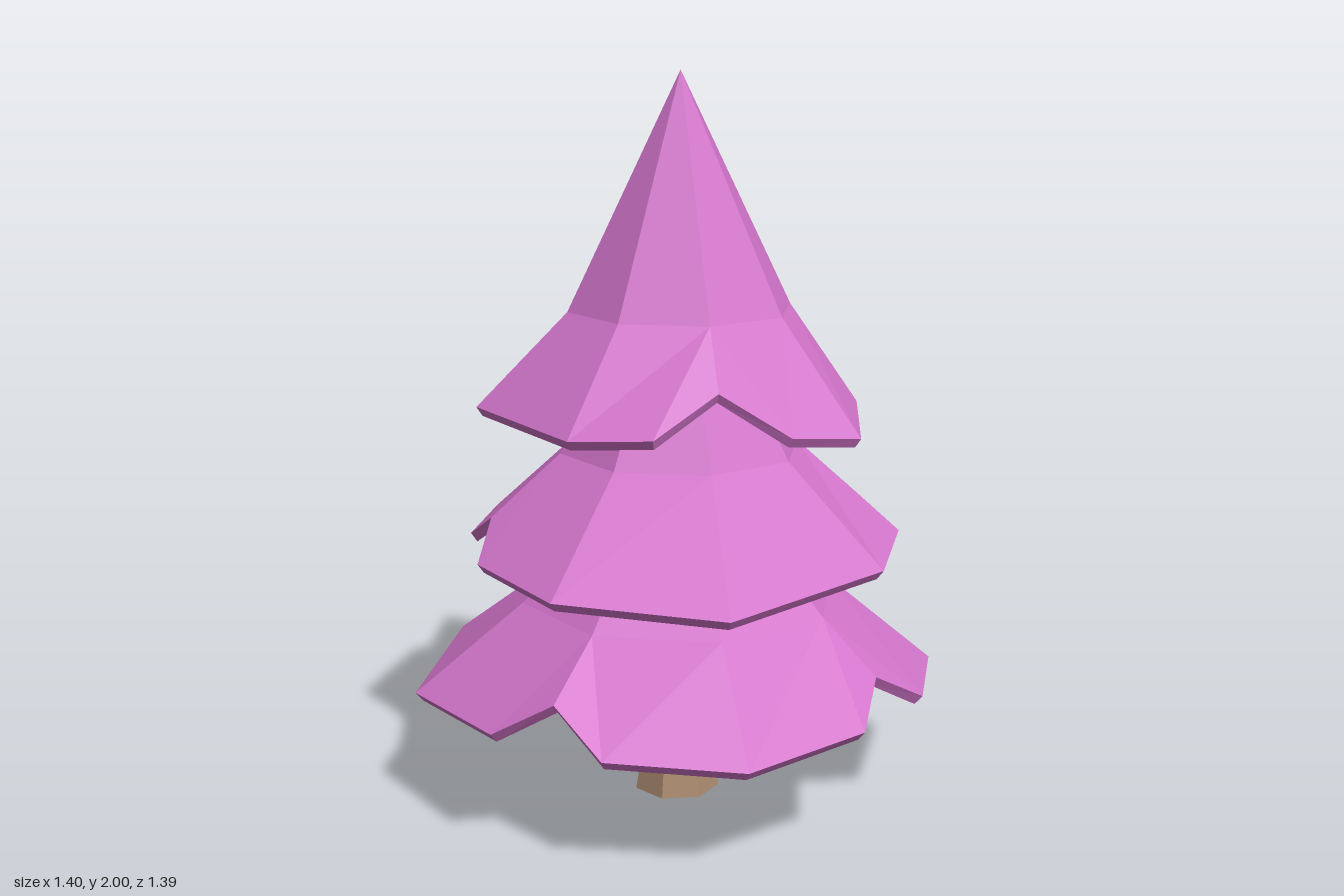
import * as THREE from 'three';

const CX = 0.015, CZ = -0.015; // axis of the tree
const SIDES = 8;

// Each tier: rim points per spoke (three points make a notch), a shoulder ring and a top ring [radius, y]
const TIERS = [
  {
    name: 'lowerBranches', mid: [0.445, 0.57], top: [0.17, 0.87],
    rim: [
      [[0.63, 0.34, -0.33], [0.60, 0.43, -0.165], [0.70, 0.35, 0]],
      [[0.63, 0.325, 0.36]],
      [[0.35, 0.34, 0.595], [0.19, 0.45, 0.61], [0.035, 0.35, 0.69]],
      [[-0.38, 0.33, 0.615]],
      [[-0.705, 0.34, 0.19]],
      [[-0.595, 0.335, -0.39]],
      [[-0.28, 0.335, -0.65], [-0.12, 0.44, -0.61], [0.03, 0.315, -0.70]],
      [[0.39, 0.305, -0.67]],
    ],
  },
  {
    name: 'middleBranches', mid: [0.335, 0.985], top: [0.17, 1.28],
    rim: [
      [[0.62, 0.73, -0.16]],
      [[0.565, 0.70, 0.36]],
      [[0.19, 0.72, 0.615]],
      [[-0.17, 0.73, 0.555], [-0.25, 0.82, 0.44], [-0.39, 0.74, 0.40]],
      [[-0.60, 0.73, 0.13]],
      [[-0.535, 0.72, -0.375]],
      [[-0.12, 0.70, -0.615]],
      [[0.21, 0.70, -0.56], [0.285, 0.82, -0.455], [0.45, 0.75, -0.435]],
    ],
  },
  {
    name: 'treetop', mid: [0.31, 1.37], top: [0, 2],
    rim: [
      [[0.55, 1.075, -0.14]],
      [[0.495, 1.10, 0.065], [0.38, 1.22, 0.215], [0.33, 1.12, 0.395]],
      [[0.135, 1.105, 0.505]],
      [[-0.29, 1.12, 0.45]],
      [[-0.505, 1.11, 0.10]],
      [[-0.445, 1.11, -0.115], [-0.345, 1.22, -0.245], [-0.27, 1.11, -0.39]],
      [[-0.08, 1.10, -0.525]],
      [[0.285, 1.09, -0.44]],
    ],
  },
];

function ring(radius, y) {
  return Array.from({ length: SIDES }, (_, i) => {
    const a = THREE.MathUtils.degToRad(-14 + i * 45);
    return new THREE.Vector3(CX + radius * Math.cos(a), y, CZ + radius * Math.sin(a));
  });
}

// Thick, hollow skirt of branches with a narrow lip round the rim
function skirtGeometry({ rim, mid, top }) {
  const pos = [];
  const tri = (a, b, c) => {
    if (a.equals(b) || b.equals(c) || a.equals(c)) return;
    for (const p of [a, b, c]) pos.push(p.x, p.y, p.z);
  };
  const quad = (a, b, c, d) => { tri(a, b, c); tri(a, c, d); };

  const outer = rim.map(s => s.map(p => new THREE.Vector3(...p)));
  const under = outer.map(s => s.map(p => new THREE.Vector3(p.x * 0.97, p.y - 0.025, p.z * 0.97)));
  const shoulder = ring(...mid);
  const innerShoulder = ring(mid[0] - 0.05, mid[1] - 0.05);
  const crown = ring(...top);

  for (let i = 0; i < SIDES; i++) {
    const j = (i + 1) % SIDES;
    const o = outer[i], u = under[i];
    const oj = outer[j][0], uj = under[j][0];
    // notch fans
    for (let k = 0; k < o.length - 1; k++) {
      tri(shoulder[i], o[k + 1], o[k]);
      tri(innerShoulder[i], u[k], u[k + 1]);
      quad(o[k], o[k + 1], u[k + 1], u[k]);
    }
    const oi = o[o.length - 1], ui = u[u.length - 1];
    quad(crown[i], crown[j], shoulder[j], shoulder[i]); // upper slope
    quad(shoulder[i], shoulder[j], oj, oi);             // flared slope
    quad(oi, oj, uj, ui);                               // lip
    quad(ui, uj, innerShoulder[j], innerShoulder[i]);   // underside
    quad(innerShoulder[i], innerShoulder[j], crown[j], crown[i]);
  }
  const g = new THREE.BufferGeometry();
  g.setAttribute('position', new THREE.Float32BufferAttribute(pos, 3));
  g.computeVertexNormals();
  return g;
}

// Seven-sided trunk flaring at the foot
function trunkGeometry() {
  const profile = [[0, 0], [0.12, 0], [0.088, 0.19], [0.08, 0.4], [0.06, 1.25], [0, 1.25]]
    .map(p => new THREE.Vector2(...p));
  const g = new THREE.LatheGeometry(profile, 7, Math.PI / 7).toNonIndexed();
  g.computeVertexNormals();
  return g;
}

export function createModel() {
  const foliage = new THREE.MeshStandardMaterial({ color: 0xd375cb });
  foliage.name = 'pinkFoliage';
  const bark = new THREE.MeshStandardMaterial({ color: 0xab8b6f });
  bark.name = 'brownBark';
  foliage.flatShading = bark.flatShading = true;

  const tree = new THREE.Group();
  tree.name = 'tree';

  const trunk = new THREE.Mesh(trunkGeometry(), bark);
  trunk.name = 'trunk';
  trunk.position.set(CX, 0, 0);
  tree.add(trunk);

  for (const tier of TIERS) {
    const mesh = new THREE.Mesh(skirtGeometry(tier), foliage);
    mesh.name = tier.name;
    tree.add(mesh);
  }
  return tree;
}
